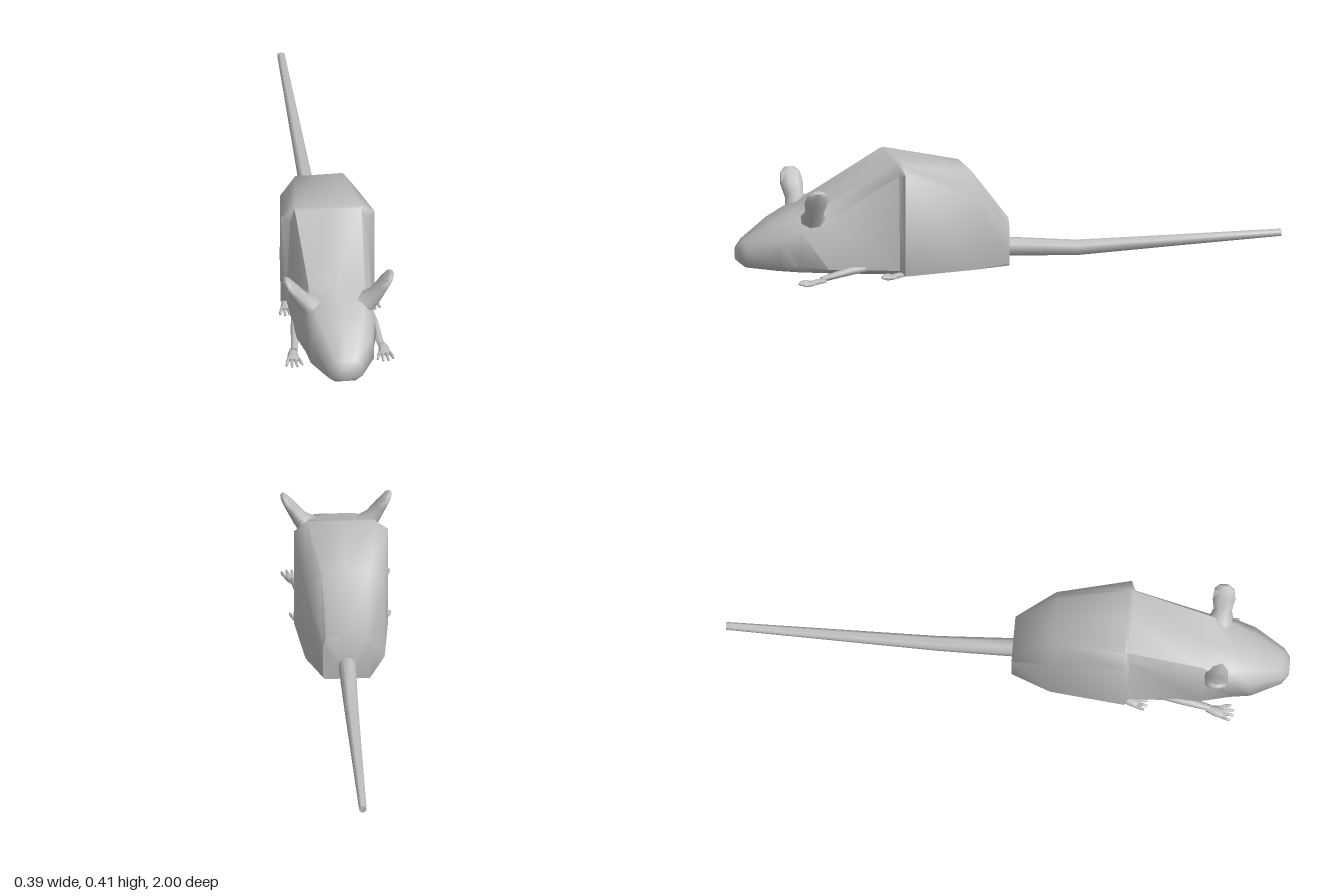
import * as THREE from 'three';
import { toCreasedNormals } from 'three/addons/utils/BufferGeometryUtils.js';

const fur = new THREE.MeshStandardMaterial({ color: 0xbdbdbd });
fur.name = 'grey fur';

// Skin a list of closed rings (Vector3 arrays, counter-clockwise seen from the far end), with end caps
function loft(name, rings, crease = 1.0) {
  const n = rings[0].length;
  const pos = [];
  const idx = [];
  rings.forEach((ring) => ring.forEach((p) => pos.push(p.x, p.y, p.z)));
  for (let i = 0; i < rings.length - 1; i++) {
    for (let j = 0; j < n; j++) {
      const a = i * n + j;
      const b = i * n + (j + 1) % n;
      idx.push(a, b, b + n, a, b + n, a + n);
    }
  }
  const last = (rings.length - 1) * n;
  for (let j = 1; j < n - 1; j++) {
    idx.push(0, j + 1, j);
    idx.push(last, last + j, last + j + 1);
  }
  const geo = new THREE.BufferGeometry();
  geo.setAttribute('position', new THREE.Float32BufferAttribute(pos, 3));
  geo.setIndex(idx);
  const mesh = new THREE.Mesh(toCreasedNormals(geo, crease), fur);
  mesh.name = name;
  return mesh;
}

// Elliptical limb through stations [x, y, z, radius along ref, radius across]
function limb(name, stations, sides, ref) {
  const pts = stations.map((s) => new THREE.Vector3(s[0], s[1], s[2]));
  const rings = stations.map((s, i) => {
    const dir = pts[Math.min(i + 1, pts.length - 1)].clone().sub(pts[Math.max(i - 1, 0)]).normalize();
    const e1 = ref.clone().addScaledVector(dir, -ref.dot(dir)).normalize();
    const e2 = dir.clone().cross(e1);
    return Array.from({ length: sides }, (_, k) => {
      const t = ((k + 0.5) / sides) * Math.PI * 2;
      return pts[i].clone().addScaledVector(e1, s[3] * Math.cos(t)).addScaledVector(e2, s[4] * Math.sin(t));
    });
  });
  return loft(name, rings, 1.2);
}

const X = new THREE.Vector3(1, 0, 0);
const Z = new THREE.Vector3(0, 0, 1);

// Symmetric body section: belly, lower flank, upper flank and back, each as height and half width
function section([z, yb, wb, yl, wl, yu, wu, yt, wt]) {
  const half = [[wb, yb], [wl, yl], [wu, yu], [wt, yt]];
  const right = half.map(([x, y]) => new THREE.Vector3(x, y, z));
  const left = half.map(([x, y]) => new THREE.Vector3(-x, y, z)).reverse();
  return [new THREE.Vector3(0, yb, z), ...right, new THREE.Vector3(0, yt, z), ...left];
}

// Paw with a flat palm and four spread toes
function paw(name, side, x, z, size) {
  const g = new THREE.Group();
  g.name = name;
  g.add(limb('palm', [
    [side * (x - 0.006), 0.016, z - 0.045 * size, 0.012 * size, 0.008],
    [side * x, 0.014, z - 0.01 * size, 0.021 * size, 0.009],
    [side * (x + 0.003), 0.011, z + 0.015 * size, 0.021 * size, 0.007],
  ], 8, X));
  for (let k = 0; k < 4; k++) {
    const s = k - 1.5;
    const len = (Math.abs(s) > 1 ? 0.042 : 0.052) * size;
    g.add(limb('toe', [
      [side * (x + s * 0.011 * size), 0.011, z, 0.005, 0.005],
      [side * (x + s * 0.016 * size), 0.012, z + len * 0.6, 0.006, 0.007],
      [side * (x + s * 0.019 * size), 0.010, z + len, 0.004, 0.004],
    ], 6, X));
  }
  return g;
}

export function createModel() {
  const model = new THREE.Group();
  model.name = 'rodent';

  // Rump, haunches with a step at the hip, then chest, head and nose
  model.add(loft('body', [
    [0.02, 0.003, 0.08, 0.012, 0.086, 0.14, 0.085, 0.175, 0.07],
    [0.16, 0.002, 0.10, 0.012, 0.14, 0.28, 0.138, 0.36, 0.085],
    [0.425, 0.003, 0.12, 0.012, 0.167, 0.38, 0.167, 0.415, 0.12],
    [0.44, 0.010, 0.12, 0.030, 0.150, 0.37, 0.135, 0.412, 0.118],
    [0.70, 0.030, 0.11, 0.050, 0.142, 0.22, 0.126, 0.275, 0.10],
    [0.80, 0.038, 0.10, 0.060, 0.121, 0.195, 0.121, 0.235, 0.09],
    [0.87, 0.043, 0.08, 0.064, 0.112, 0.16, 0.110, 0.205, 0.07],
    [0.975, 0.052, 0.035, 0.070, 0.060, 0.115, 0.058, 0.140, 0.035],
    [0.998, 0.070, 0.020, 0.082, 0.030, 0.105, 0.030, 0.118, 0.018],
  ].map(section)));

  // Long tapering tail, resting on the ground past its bend
  model.add(limb('tail', [
    [0, 0.055, 0.06, 0.034, 0.036],
    [0, 0.053, 0.01, 0.032, 0.034],
    [0, 0.030, -0.25, 0.026, 0.028],
    [0, 0.031, -0.62, 0.020, 0.020],
    [0, 0.032, -1.00, 0.014, 0.013],
  ], 8, X));

  for (const side of [1, -1]) {
    const label = side > 0 ? 'left' : 'right';
    const m = (rows) => rows.map(([x, ...rest]) => [side * x, ...rest]);

    // Leaf-shaped ear leaning outward
    model.add(limb(label + 'Ear', m([
      [0.095, 0.225, 0.745, 0.05, 0.04],
      [0.130, 0.258, 0.750, 0.034, 0.028],
      [0.158, 0.300, 0.752, 0.043, 0.020],
      [0.180, 0.332, 0.752, 0.038, 0.014],
      [0.191, 0.347, 0.752, 0.020, 0.008],
    ]), 8, Z));

    // Forelimb stretched forward along the chest
    model.add(limb(label + 'FrontLeg', m([
      [0.125, 0.050, 0.50, 0.010, 0.014],
      [0.138, 0.040, 0.62, 0.018, 0.015],
      [0.154, 0.020, 0.73, 0.012, 0.009],
    ]), 8, X));
    model.add(paw(label + 'FrontPaw', side, 0.162, 0.762, 1));

    // Hind foot emerging from under the haunch
    model.add(limb(label + 'HindLeg', m([
      [0.130, 0.022, 0.36, 0.018, 0.016],
      [0.145, 0.018, 0.43, 0.014, 0.011],
    ]), 8, X));
    model.add(paw(label + 'HindPaw', side, 0.152, 0.46, 0.9));
  }
  return model;
}
